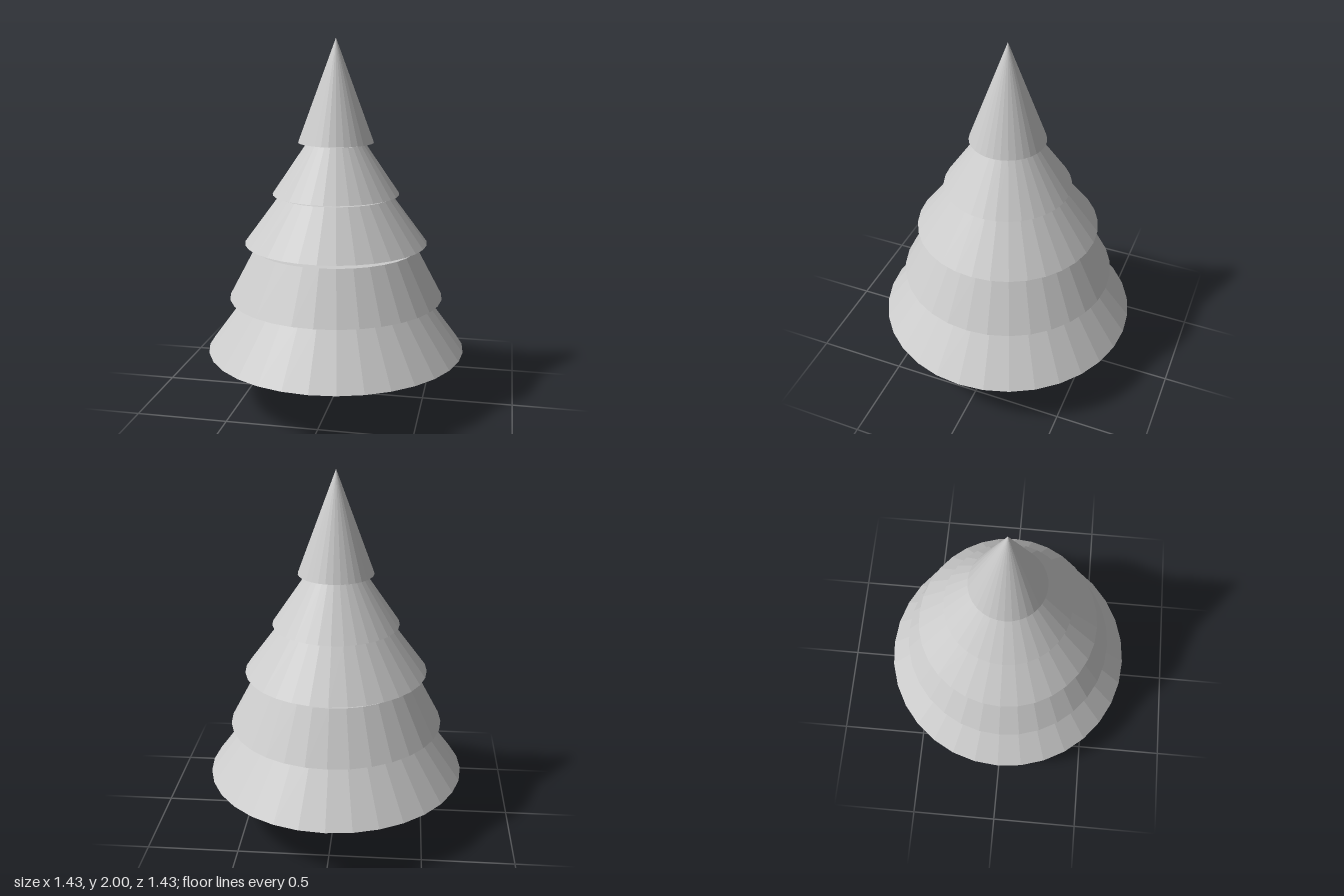
import * as THREE from 'three';

const SIDES = 32;

export function createModel() {
  const tree = new THREE.Group();
  tree.name = 'tree';
  const material = new THREE.MeshStandardMaterial({ color: 0xcccccc, flatShading: true });

  // A closed, upright tapered cylinder between two heights
  function addTaper(name, bottomY, topY, bottomRadius, topRadius) {
    const height = topY - bottomY;
    const geometry = topRadius > 0
      ? new THREE.CylinderGeometry(topRadius, bottomRadius, height, SIDES)
      : new THREE.ConeGeometry(bottomRadius, height, SIDES);
    const mesh = new THREE.Mesh(geometry, material);
    mesh.name = name;
    mesh.position.y = bottomY + height / 2;
    tree.add(mesh);
  }

  // Trunk, running up through all tiers into the tip
  addTaper('trunk', 0, 1.46, 0.078, 0.078);

  // Foliage tiers from the ground up: bottom y, top y, bottom radius, top radius
  const tiers = [
    [0.29, 0.58, 0.717, 0.503],
    [0.588, 0.862, 0.592, 0.447],
    [0.894, 1.152, 0.503, 0.312],
    [1.165, 1.438, 0.347, 0.162],
  ];
  tiers.forEach((tier, i) => addTaper(`foliageTier${i + 1}`, ...tier));

  // Pointed tip
  addTaper('treeTip', 1.446, 2, 0.205, 0);

  return tree;
}
